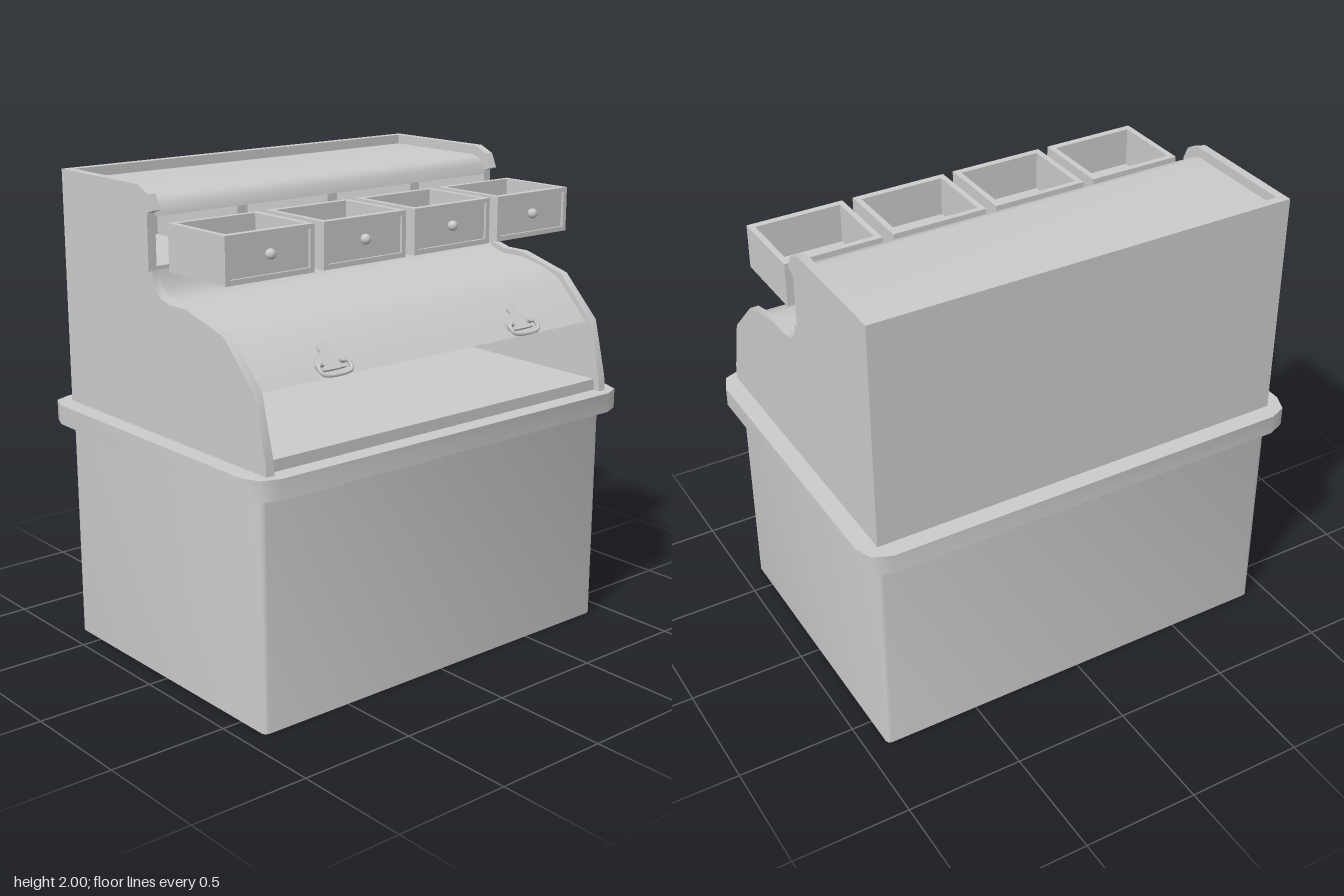
import * as THREE from 'three';
import { toCreasedNormals } from 'three/addons/utils/BufferGeometryUtils.js';

const material = new THREE.MeshStandardMaterial({ color: 0xcccccc });

function add(parent, name, geometry, x = 0, y = 0, z = 0) {
  const mesh = new THREE.Mesh(geometry, material);
  mesh.name = name;
  mesh.position.set(x, y, z);
  parent.add(mesh);
  return mesh;
}

// Box given by its limits on each axis
function block(parent, name, [x0, x1], [y0, y1], [z0, z1]) {
  const g = new THREE.BoxGeometry(x1 - x0, y1 - y0, z1 - z0);
  return add(parent, name, g, (x0 + x1) / 2, (y0 + y1) / 2, (z0 + z1) / 2);
}

const toShape = (points) => new THREE.Shape(points.map(([a, b]) => new THREE.Vector2(a, b)));

// Side profile of [z, y] points, swept along x and centred on x = 0
function sweepX(points, width) {
  const g = new THREE.ExtrudeGeometry(toShape(points), { depth: width, bevelEnabled: false });
  g.translate(0, 0, -width / 2).rotateY(-Math.PI / 2);
  return toCreasedNormals(g, 0.65);
}

// Upright slab with softened vertical corners
function slab(w, d, r, height) {
  const k = 0.29 * r;
  const points = [
    [w, d - r], [w - k, d - k], [w - r, d],
    [r - w, d], [k - w, d - k], [-w, d - r],
    [-w, r - d], [k - w, k - d], [r - w, -d],
    [w - r, -d], [w - k, k - d], [w, r - d],
  ];
  const g = new THREE.ExtrudeGeometry(toShape(points), { depth: height, bevelEnabled: false });
  g.rotateX(-Math.PI / 2);
  return toCreasedNormals(g, 0.9);
}

// Open-topped drawer with a recessed front panel and a round knob
function makeDrawer() {
  const drawer = new THREE.Group();
  drawer.name = 'drawer';
  const w = 0.207, y = [1.69, 1.875], z = [0.08, 0.435];
  block(drawer, 'drawerBottom', [-w, w], [y[0], 1.71], [z[0], 0.424]);
  for (const s of [-1, 1]) {
    const x = [s * w, s * (w - 0.025)].sort((a, b) => a - b);
    block(drawer, 'drawerSide', x, [1.71, y[1]], [0.105, 0.405]);
  }
  block(drawer, 'drawerBack', [-w, w], [1.71, y[1]], [z[0], 0.105]);
  block(drawer, 'drawerFront', [-w, w], [1.71, y[1]], [0.405, 0.424]);
  const frame = toShape([[-w, y[0]], [w, y[0]], [w, y[1]], [-w, y[1]]]);
  const i = w - 0.02;
  frame.holes.push(toShape([[-i, 1.71], [-i, 1.857], [i, 1.857], [i, 1.71]]));
  const frameGeometry = new THREE.ExtrudeGeometry(frame, { depth: 0.011, bevelEnabled: false });
  add(drawer, 'drawerFrontFrame', frameGeometry, 0, 0, 0.424);
  add(drawer, 'knob', new THREE.SphereGeometry(0.021, 14, 10), 0, 1.785, 0.435);
  return drawer;
}

// Lid pull: three-lobed plate, two posts and a hanging bail
function makePull() {
  const pull = new THREE.Group();
  pull.name = 'lidPull';
  const half = [[0.02, 0.03], [0.026, 0.05], [0.015, 0.068]];
  const right = [[0.04, -0.05], [0.068, -0.045], [0.077, -0.015], [0.055, 0.012], ...half];
  const left = right.map(([x, y]) => [-x, y]).reverse();
  const outline = new THREE.CatmullRomCurve3(
    [...right, ...left].map(([x, y]) => new THREE.Vector3(x, y, 0)), true);
  const plate = toShape(outline.getPoints(42).slice(0, -1).map((p) => [p.x, p.y]));
  const g = new THREE.ExtrudeGeometry(plate, { depth: 0.012, bevelEnabled: false });
  add(pull, 'pullPlate', toCreasedNormals(g, 0.8));
  for (const s of [-1, 1]) {
    const post = new THREE.CylinderGeometry(0.016, 0.02, 0.026, 12).rotateX(Math.PI / 2);
    add(pull, 'pullPost', post, s * 0.052, -0.018, 0.013);
  }
  const path = [[-0.052, -0.018], [-0.073, -0.035], [-0.072, -0.065], [-0.05, -0.077],
    [0.05, -0.077], [0.072, -0.065], [0.073, -0.035], [0.052, -0.018]];
  const curve = new THREE.CatmullRomCurve3(path.map(([x, y]) => new THREE.Vector3(x, y, 0.02)));
  add(pull, 'pullBail', new THREE.TubeGeometry(curve, 32, 0.008, 8));
  return pull;
}

export function createModel() {
  const desk = new THREE.Group();
  desk.name = 'rollTopDesk';

  // Lower cabinet and its overhanging top
  add(desk, 'baseCabinet', slab(0.912, 0.648, 0.02, 0.95));
  add(desk, 'baseTop', slab(0.987, 0.723, 0.105, 0.083), 0, 0.95, 0);

  // Curved end panels
  const sideProfile = [
    [-0.648, 1.033], [0.677, 1.033], [0.67, 1.095], [0.61, 1.33], [0.435, 1.505],
    [0.2, 1.567], [0.09, 1.567], [0.03, 1.583], [-0.01, 1.62], [-0.022, 1.68],
    [-0.042, 1.67], [-0.042, 1.897], [-0.005, 1.91], [-0.032, 1.97], [-0.1, 2], [-0.648, 2],
  ];
  for (const s of [-1, 1]) add(desk, 'endPanel', sweepX(sideProfile, 0.037), s * 0.8935, 0, 0);

  // Back and writing surface
  const inner = [-0.875, 0.875];
  block(desk, 'backPanel', inner, [1.033, 2], [-0.648, -0.61]);
  block(desk, 'writingSurface', inner, [1.033, 1.08], [-0.61, 0.645]);

  // Curved lid over the writing surface
  const lid = [
    [0.585, 1.32], [0.42, 1.485], [0.32, 1.523], [0.2, 1.545], [0.09, 1.545], [0.02, 1.565],
    [-0.03, 1.61], [-0.045, 1.675], [-0.07, 1.675], [-0.055, 1.6], [0.01, 1.543],
    [0.09, 1.523], [0.2, 1.523], [0.31, 1.503], [0.41, 1.465], [0.557, 1.32],
  ];
  add(desk, 'lid', sweepX(lid, 1.75));

  // Roof with a rolled front edge, set below the end panels
  const roof = [
    [-0.61, 1.96], [-0.12, 1.96], [-0.08, 1.95], [-0.056, 1.925], [-0.045, 1.88],
    [-0.075, 1.88], [-0.085, 1.91], [-0.12, 1.93], [-0.61, 1.93],
  ];
  add(desk, 'roof', sweepX(roof, 1.75));

  // Drawer compartment
  block(desk, 'drawerShelf', inner, [1.67, 1.69], [-0.61, -0.045]);
  block(desk, 'compartmentCeiling', inner, [1.88, 1.9], [-0.61, -0.075]);
  for (const x of [-0.46, 0, 0.46]) {
    block(desk, 'drawerDivider', [x - 0.025, x + 0.025], [1.69, 1.88], [-0.61, -0.045]);
  }

  // Pulled-out drawers
  for (let i = 0; i < 4; i++) {
    const drawer = makeDrawer();
    drawer.position.x = -0.694 + i * 0.46;
    desk.add(drawer);
  }

  // Pulls on the sloping front of the lid
  for (const s of [-1, 1]) {
    const pull = makePull();
    pull.position.set(s * 0.506, 1.375, 0.53);
    pull.rotation.x = -Math.PI / 4;
    desk.add(pull);
  }
  return desk;
}
